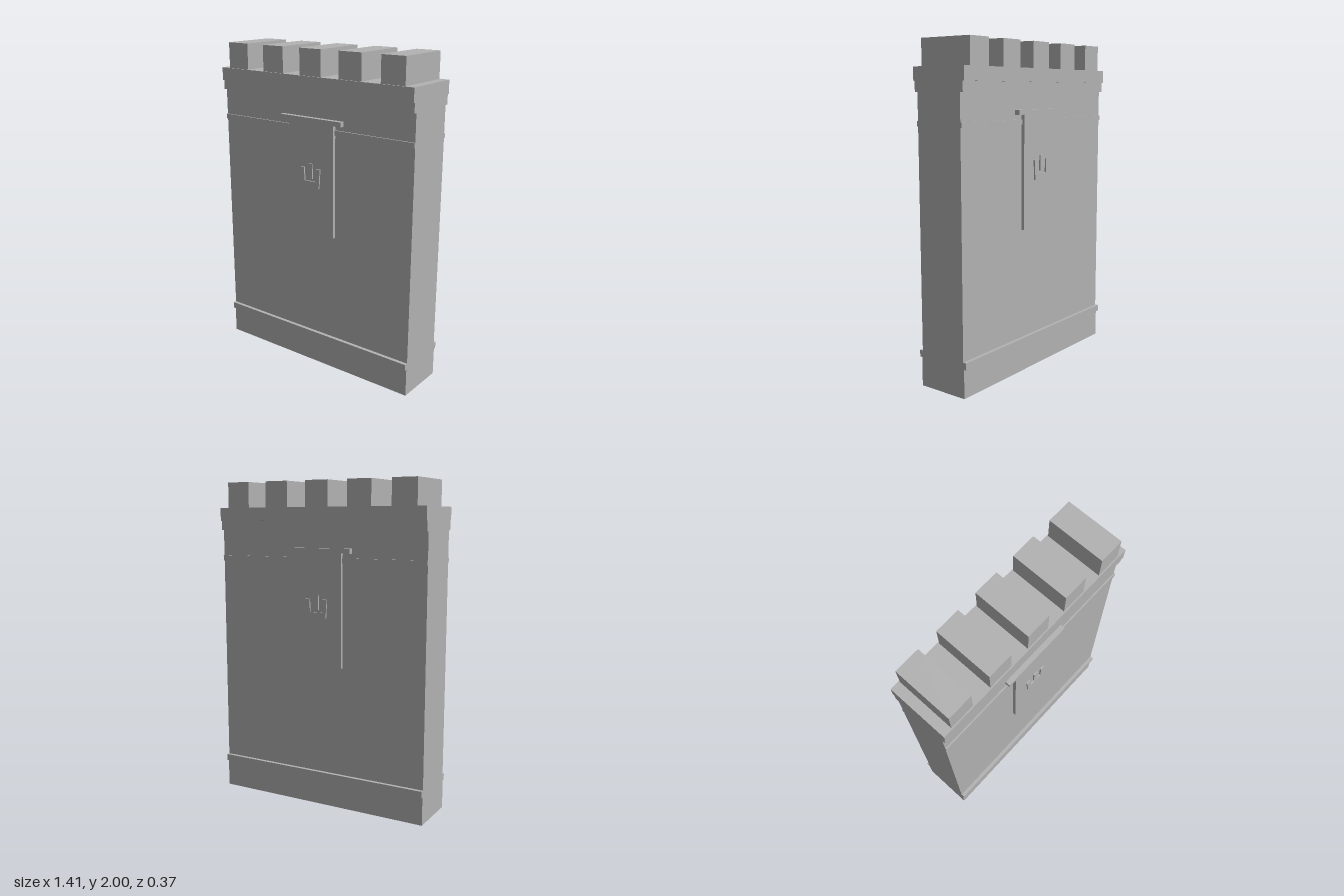
import * as THREE from 'three';

export function createModel() {
  const group = new THREE.Group();
  const stone = new THREE.MeshStandardMaterial({ color: 0xb2b2b2 });
  stone.name = 'grey stone';

  // Box given by its bounds
  function box(parent, name, x0, x1, y0, y1, z0, z1) {
    const mesh = new THREE.Mesh(new THREE.BoxGeometry(x1 - x0, y1 - y0, z1 - z0), stone);
    mesh.position.set((x0 + x1) / 2, (y0 + y1) / 2, (z0 + z1) / 2);
    mesh.name = name;
    parent.add(mesh);
  }

  // Wall courses stacked from the ground up: name, bottom, top, half depth
  const half = 0.703;
  [
    ['plinth', 0, 0.173, 0.163],
    ['plinthMoulding', 0.173, 0.214, 0.179],
    ['wall', 0.214, 1.515, 0.157],
    ['stringCourse', 1.515, 1.545, 0.166],
    ['upperWall', 1.545, 1.705, 0.157],
    ['lowerCornice', 1.705, 1.763, 0.177],
    ['upperCornice', 1.763, 1.843, 0.187],
  ].forEach(([name, y0, y1, d]) => box(group, name, -half, half, y0, y1, -d, d));

  // Battlements
  for (let i = -2; i <= 2; i++) {
    const x = i * 0.283;
    box(group, 'merlon', x - 0.078, x + 0.078, 1.843, 2, -0.179, 0.179);
  }

  // Crown-like emblem: a U-shaped band around a central prong
  const band = new THREE.Shape([
    [-0.074, 1.3], [-0.066, 1.178], [0.066, 1.178], [0.074, 1.3],
    [0.046, 1.3], [0.042, 1.218], [-0.042, 1.218], [-0.046, 1.3],
  ].map(([x, y]) => new THREE.Vector2(x, y)));
  const bandGeometry = new THREE.ExtrudeGeometry(band, { depth: 0.009, bevelEnabled: false });

  // Hanging banner on each face of the wall
  for (const angle of [0, Math.PI]) {
    const banner = new THREE.Group();
    banner.name = angle ? 'backBanner' : 'frontBanner';
    banner.rotation.y = angle;
    box(banner, 'bannerCloth', -0.167, 0.167, 0.885, 1.573, 0.157, 0.178);
    box(banner, 'bannerRod', -0.227, 0.227, 1.573, 1.602, 0.157, 0.187);
    box(banner, 'emblemProng', -0.015, 0.015, 1.232, 1.326, 0.178, 0.187);
    const emblem = new THREE.Mesh(bandGeometry, stone);
    emblem.name = 'emblemBand';
    emblem.position.z = 0.178;
    banner.add(emblem);
    group.add(banner);
  }
  return group;
}
